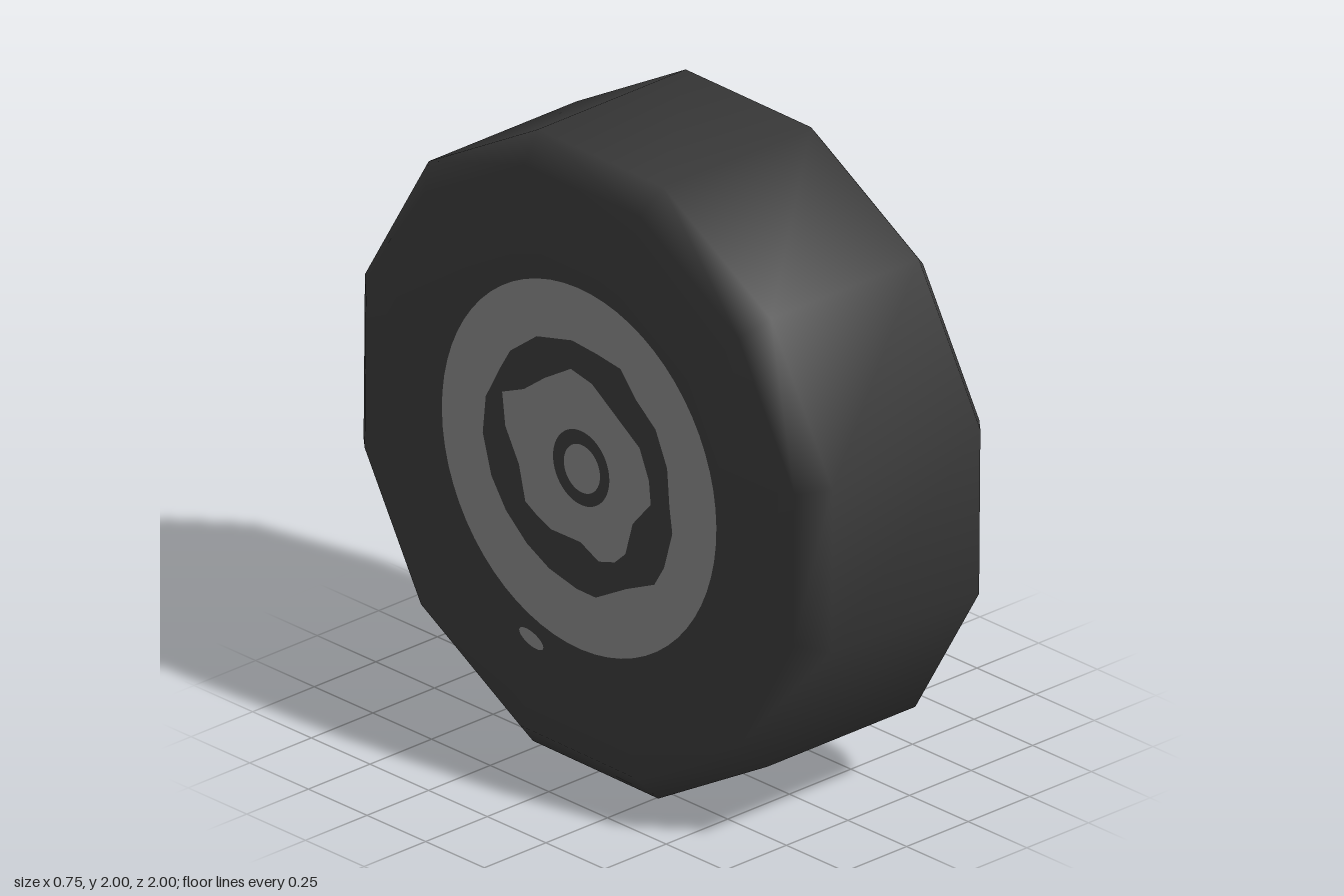
import * as THREE from 'three';

const SIDES = 12;
const START = THREE.MathUtils.degToRad(15.6);
const HALF_W = 0.375;   // half width at the side walls
const TREAD_R = 1.032;
const WALL_R = 0.946;

const rubber = new THREE.MeshStandardMaterial({ color: 0x363636 });
rubber.name = 'dark rubber';
const metal = new THREE.MeshStandardMaterial({ color: 0x808080 });
metal.name = 'grey metal';

// Twelve-sided solid turned about the x axis; profile entries are [radius, x].
function turned(name, profile) {
  const points = profile.map(([r, x]) => new THREE.Vector2(r, x));
  const mesh = new THREE.Mesh(new THREE.LatheGeometry(points, SIDES, START), rubber);
  mesh.rotation.z = -Math.PI / 2;
  mesh.name = name;
  return mesh;
}

// Worn outlines of the painted rim, in hundredths of a unit about the hub.
const rimInner = [
  [-12, 39], [2, 41], [17, 37], [26, 31], [34, 25], [36, 15], [40, 5], [39, -7],
  [34, -18], [31, -26], [22, -35], [15, -39], [2, -38], [-13, -38], [-20, -34],
  [-29, -26], [-35, -17], [-39, -6], [-40, 5], [-37, 18], [-30, 28], [-19, 35],
];
const hubPlate = [
  [-22, 28], [-12, 27], [-1, 28.5], [12, 29], [19, 23], [24, 13], [30, 1], [29, -9],
  [26, -16], [15, -20], [7, -28], [1, -29.5], [-6, -28], [-11, -21], [-22, -15],
  [-26, -10], [-29, -5], [-26, 6], [-26, 18],
];
const toPoints = (list) => list.map(([u, v]) => new THREE.Vector2(u / 100, v / 100));

function disc(r, u = 0, v = 0) {
  const s = new THREE.Shape();
  s.absarc(u, v, r, 0, Math.PI * 2, false);
  return s;
}

// Flat painted rim, hub and valve, drawn facing +z then turned to the side.
function wheelFace(name, side, roll) {
  const rim = disc(0.585);
  rim.holes.push(new THREE.Path(toPoints(rimInner)));

  const hub = new THREE.Shape(toPoints(hubPlate));
  hub.holes.push(disc(0.12, 0.01, 0));

  const valve = new THREE.Shape();
  valve.absellipse(-0.48, -0.445, 0.053, 0.023, 0, Math.PI * 2, false, -Math.PI / 4);

  const group = new THREE.Group();
  group.name = name;
  const parts = { rim, hub, hubCap: disc(0.077, 0.012, -0.003), valve };
  for (const [part, shape] of Object.entries(parts)) {
    const mesh = new THREE.Mesh(new THREE.ShapeGeometry(shape, 32), metal);
    mesh.name = part;
    group.add(mesh);
  }
  group.position.set(side * (HALF_W + 0.002), 0.01, 0);
  group.rotation.set(0, side * Math.PI / 2, roll);
  return group;
}

export function createModel() {
  const model = new THREE.Group();
  model.name = 'wheel';
  const wheel = new THREE.Group();
  wheel.name = 'tyreAndRim';
  wheel.position.y = 1;

  // Tread, both bevels and the -x wall shade smoothly together
  wheel.add(turned('tyre', [
    [0, -HALF_W], [0.6, -HALF_W], [WALL_R, -HALF_W], [TREAD_R, -0.3],
    [TREAD_R, 0.3], [WALL_R, HALF_W],
  ]));
  // The +x wall has a crisp edge
  wheel.add(turned('outerWall', [[WALL_R, HALF_W], [0, HALF_W]]));

  wheel.add(wheelFace('leftFace', 1, 0));
  wheel.add(wheelFace('rightFace', -1, THREE.MathUtils.degToRad(29)));

  model.add(wheel);
  return model;
}
